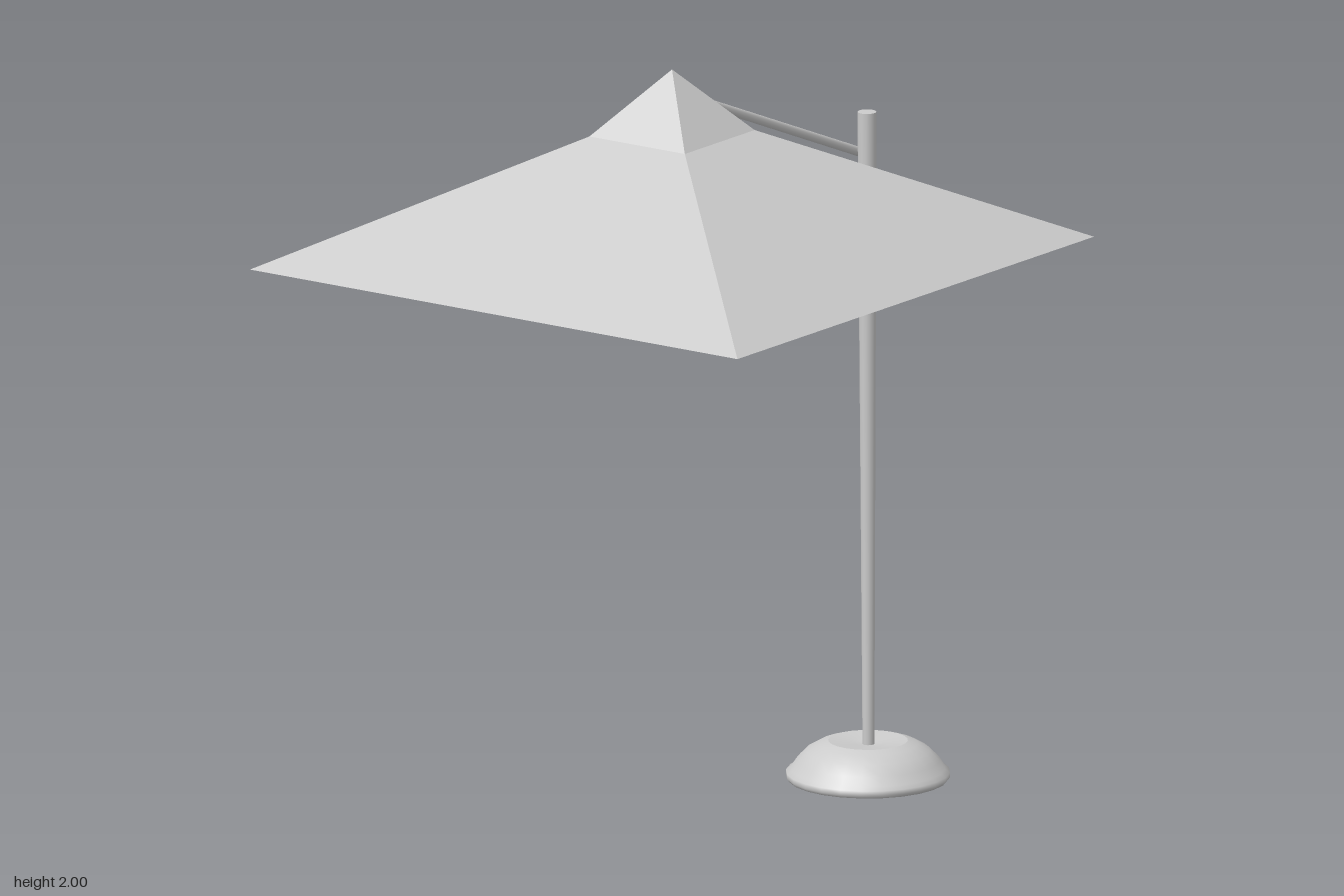
import * as THREE from 'three';

const grey = new THREE.MeshStandardMaterial({ color: 0xcccccc });
const cloth = new THREE.MeshStandardMaterial({ color: 0xcccccc, flatShading: true, side: THREE.DoubleSide });

function add(group, name, geometry, material = grey) {
  const mesh = new THREE.Mesh(geometry, material);
  mesh.name = name;
  group.add(mesh);
  return mesh;
}

// Open four-sided canopy from square rings of [half width, height], lowest first
function canopyGeometry(rings) {
  const signs = [[-1, 1], [1, 1], [1, -1], [-1, -1]];
  const positions = [];
  const corner = (r, k) => [signs[k % 4][0] * r[0], r[1], signs[k % 4][1] * r[0]];
  for (let i = 0; i < rings.length - 1; i++) {
    for (let k = 0; k < 4; k++) {
      const a = corner(rings[i], k), b = corner(rings[i], k + 1);
      const c = corner(rings[i + 1], k + 1), d = corner(rings[i + 1], k);
      positions.push(...a, ...b, ...c);
      if (rings[i + 1][0] > 0) positions.push(...a, ...c, ...d);
    }
  }
  const g = new THREE.BufferGeometry();
  g.setAttribute('position', new THREE.Float32BufferAttribute(positions, 3));
  g.computeVertexNormals();
  return g;
}

// Closed rod between two points
function rod(group, name, from, to, r0, r1, sides) {
  const dir = to.clone().sub(from);
  const mesh = add(group, name, new THREE.CylinderGeometry(r1, r0, dir.length(), sides));
  mesh.position.copy(from).add(to).multiplyScalar(0.5);
  mesh.quaternion.setFromUnitVectors(new THREE.Vector3(0, 1, 0), dir.normalize());
}

export function createModel() {
  const model = new THREE.Group();
  model.name = 'cantileverParasol';

  // Canopy: wide shallow skirt with a steeper cap, turned slightly
  const canopy = add(model, 'canopy', canopyGeometry([[0.756, 1.525], [0.148, 1.835], [0, 2]]), cloth);
  canopy.position.set(-0.002, 0, 0.118);
  canopy.rotation.y = -0.0265;

  // Weighted foot: domed side, lip at the floor, shallow dish on top
  const profile = [
    [0, 0], [0.2, 0], [0.206, 0.008], [0.206, 0.02], [0.194, 0.028],
    [0.18, 0.05], [0.155, 0.075], [0.125, 0.092], [0.1, 0.1],
    [0.1, 0.1], [0.06, 0.095], [0, 0.088],
  ].map(([r, y]) => new THREE.Vector2(r, y));
  const foot = add(model, 'foot', new THREE.LatheGeometry(profile, 24));
  foot.position.set(0.037, 0, -0.688);

  // Pole, widening towards the top
  rod(model, 'pole', new THREE.Vector3(0.037, 0.08, -0.69), new THREE.Vector3(0.036, 1.725, -0.685), 0.015, 0.024, 12);

  // Arm running past the pole's side up to the canopy cap
  rod(model, 'arm', new THREE.Vector3(0.004, 1.607, -0.715), new THREE.Vector3(-0.006, 1.912, 0.042), 0.012, 0.012, 10);

  return model;
}
